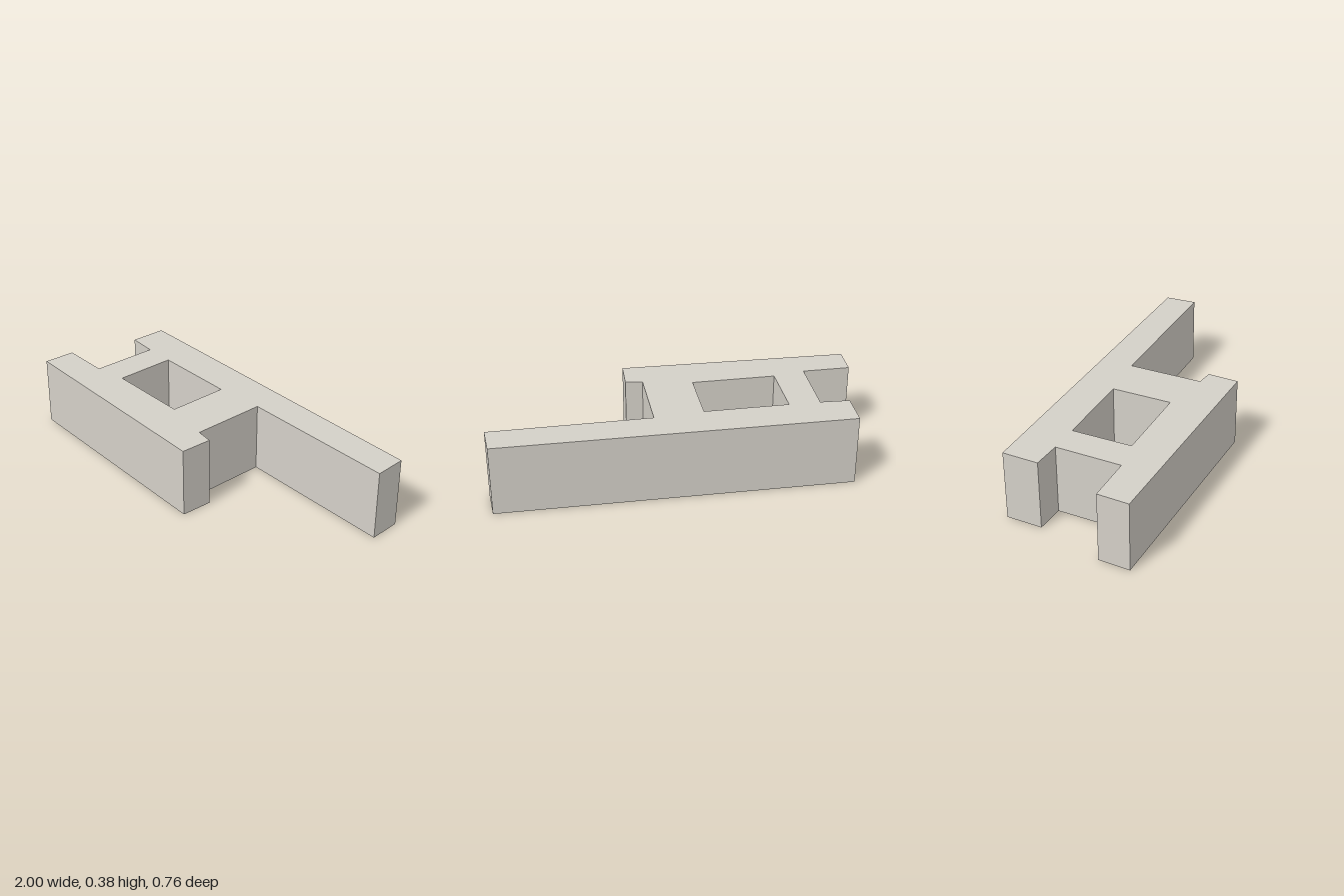
import * as THREE from 'three';

const HEIGHT = 0.378;

// Floor-plan outlines as [x, z]; the courtyard runs opposite to the outer wall
const OUTLINE = [
  [-0.882, -0.381], [0.99, -0.368], [1, -0.2], [0.146, -0.197],
  [0.146, 0.203], [0.237, 0.214], [0.231, 0.381], [-1, 0.35],
  [-0.993, 0.18], [-0.737, 0.18], [-0.731, -0.177], [-0.887, -0.186],
];
const COURTYARD = [[-0.565, -0.175], [-0.565, 0.15], [-0.117, 0.15], [-0.117, -0.175]];

const toPlan = (points) => points.map(([x, z]) => new THREE.Vector2(x, -z));

export function createModel() {
  const group = new THREE.Group();
  group.name = 'building';
  const stone = new THREE.MeshStandardMaterial({ color: 0xd4d0c8 });
  stone.name = 'warm grey';

  // Two long wings joined by cross blocks around an open courtyard
  const plan = new THREE.Shape(toPlan(OUTLINE));
  plan.holes.push(new THREE.Path(toPlan(COURTYARD)));
  const geometry = new THREE.ExtrudeGeometry(plan, { depth: HEIGHT, bevelEnabled: false });
  geometry.rotateX(-Math.PI / 2);

  const block = new THREE.Mesh(geometry, stone);
  block.name = 'buildingBlock';
  group.add(block);
  return group;
}
